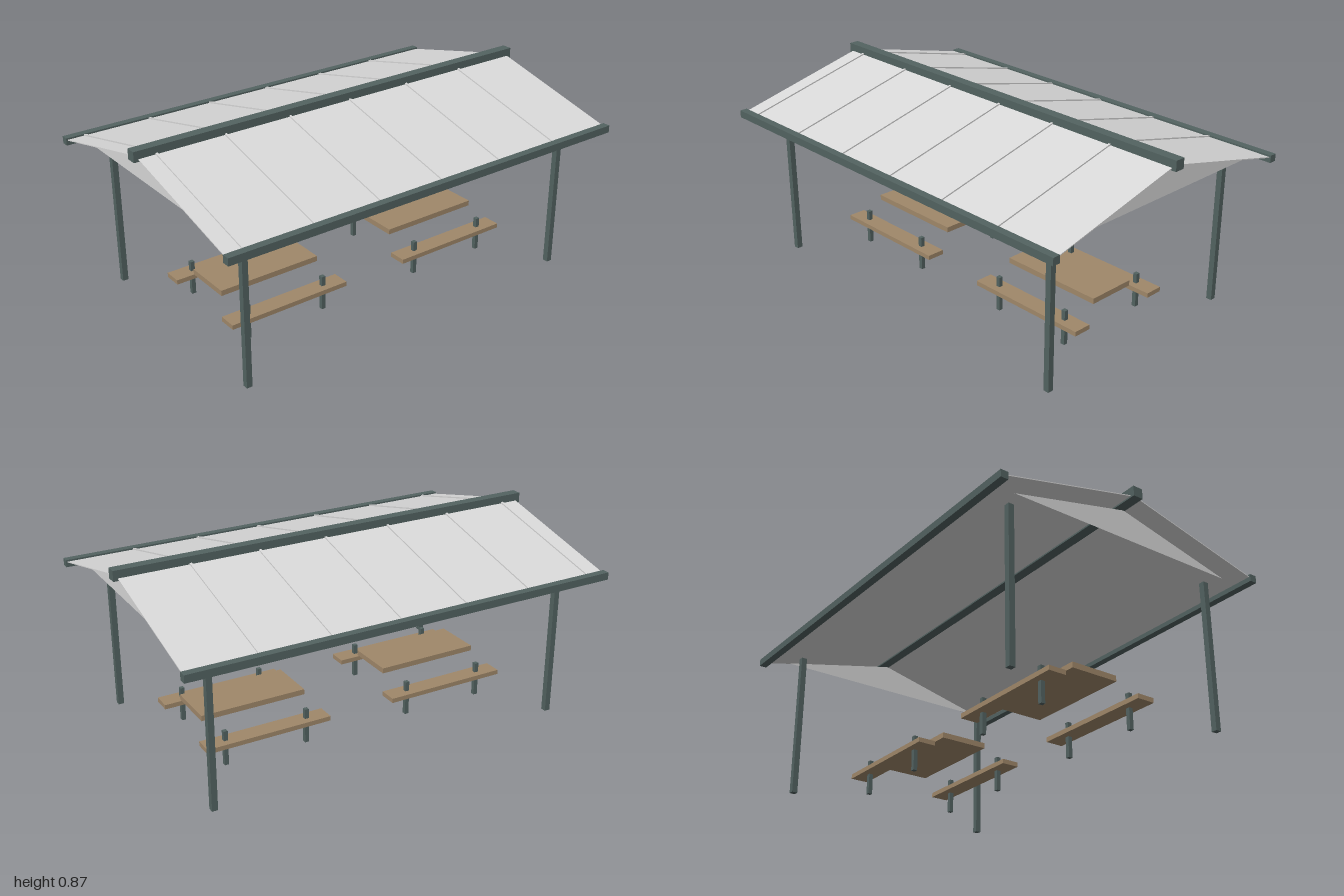
import * as THREE from 'three';

export function createModel() {
  const model = new THREE.Group();
  model.name = 'picnicShelter';

  const material = (name, color, side = THREE.FrontSide) => {
    const m = new THREE.MeshStandardMaterial({ color, side });
    m.name = name;
    return m;
  };
  const steel = material('dark green steel', 0x536361);
  const sheet = material('light grey sheet', 0xd9d9d9, THREE.DoubleSide);
  const wood = material('brown wood', 0xa0886a);

  function box(parent, name, mat, size, pos) {
    const mesh = new THREE.Mesh(new THREE.BoxGeometry(...size), mat);
    mesh.name = name;
    mesh.position.set(...pos);
    parent.add(mesh);
    return mesh;
  }

  // Ridge beam
  box(model, 'ridgeBeam', steel, [2, 0.046, 0.046], [0, 0.848, 0]);

  // Roof slopes with raised seams, and eave beams
  const pitch = Math.atan(0.244);
  const seams = [-0.9, -0.585, -0.27, 0.043, 0.357, 0.67];
  for (const s of [1, -1]) {
    const slope = new THREE.Group();
    slope.name = s > 0 ? 'frontRoofSlope' : 'backRoofSlope';
    slope.position.set(0, 0.763, s * 0.3275);
    slope.rotation.x = s * pitch;
    box(slope, 'roofPanel', sheet, [1.96, 0.004, 0.65], [0, -0.003, 0]);
    for (const x of seams) box(slope, 'roofSeam', sheet, [0.01, 0.01, 0.63], [x, 0, 0]);
    model.add(slope);
    box(model, 'eaveBeam', steel, [1.975, 0.033, 0.034], [0, 0.678, s * 0.652]);
  }

  // Gable sheets and corner posts
  const triangle = new THREE.Shape();
  triangle.moveTo(-0.55, 0.678);
  triangle.lineTo(0.55, 0.678);
  triangle.lineTo(0, 0.81);
  triangle.closePath();
  for (const side of [1, -1]) {
    const gable = new THREE.Mesh(new THREE.ShapeGeometry(triangle), sheet);
    gable.name = 'gableSheet';
    gable.rotation.y = side * Math.PI / 2;
    gable.position.x = side * 0.91;
    model.add(gable);
    for (const s of [1, -1]) {
      box(model, 'cornerPost', steel, [0.026, 0.68, 0.026], [side * 0.832, 0.34, s * 0.515]);
    }
  }

  // Two picnic tables, each with a pair of benches
  for (const side of [1, -1]) {
    const set = new THREE.Group();
    set.name = side > 0 ? 'leftPicnicSet' : 'rightPicnicSet';
    set.position.x = side * 0.45;
    box(set, 'tableTop', wood, [0.492, 0.025, 0.225], [0, 0.1765, 0]);
    for (const s of [1, -1]) {
      box(set, 'benchSeat', wood, [0.582, 0.021, 0.083], [0, 0.105, s * 0.225]);
      for (const x of [-0.192, 0.192]) {
        box(set, 'benchLeg', steel, [0.019, 0.16, 0.019], [x, 0.08, s * 0.225]);
      }
    }
    model.add(set);
  }

  return model;
}
